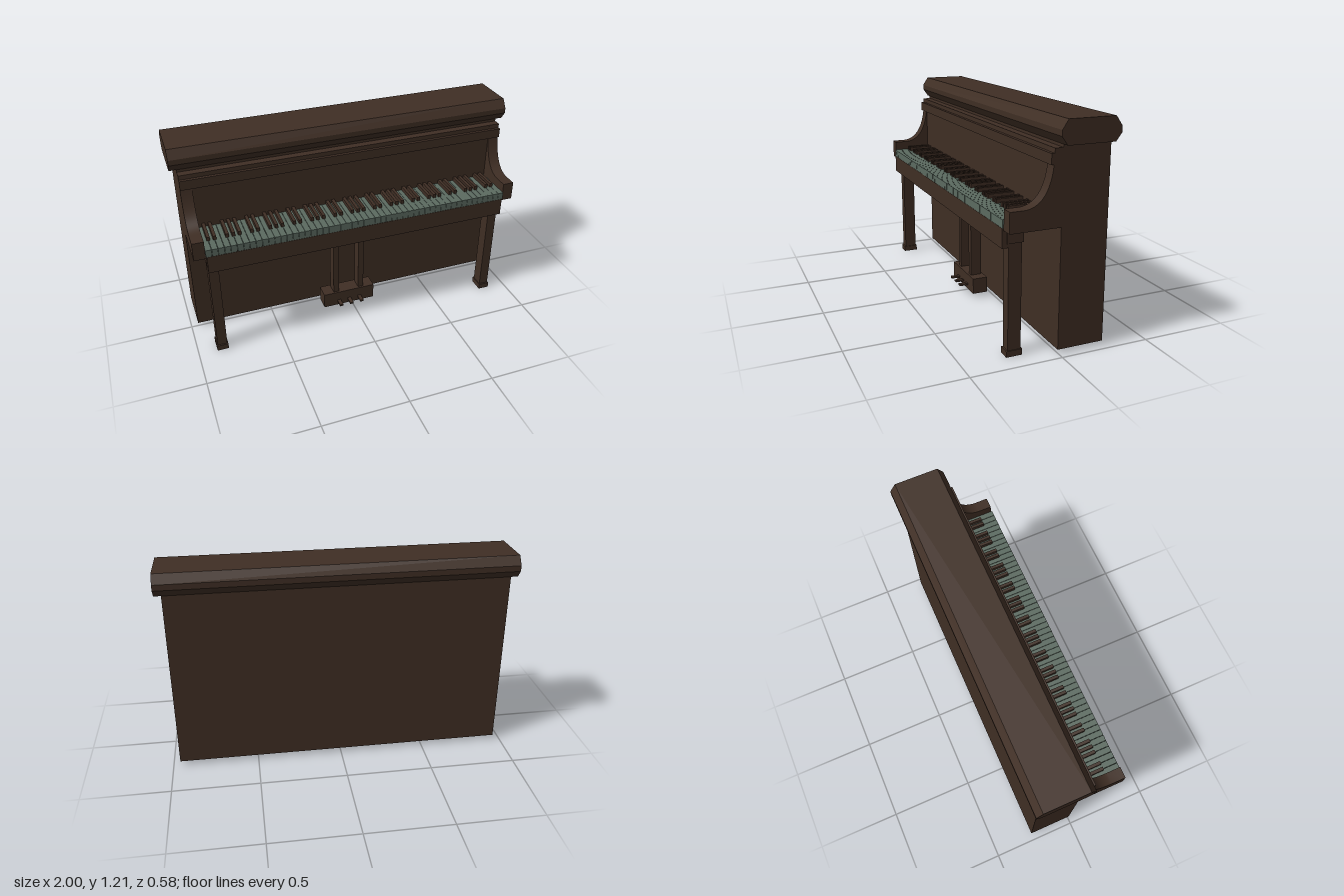
import * as THREE from 'three';
import { toCreasedNormals } from 'three/addons/utils/BufferGeometryUtils.js';

export function createModel() {
  const piano = new THREE.Group();
  piano.name = 'uprightPiano';

  const wood = new THREE.MeshStandardMaterial({ color: 0x3f2e24 });
  wood.name = 'dark wood';
  const ivory = new THREE.MeshStandardMaterial({ color: 0x5b6a60 });
  ivory.name = 'grey green ivory';

  // Box given by its limits on each axis
  function box(name, [x0, x1], [y0, y1], [z0, z1], material = wood, parent = piano) {
    const mesh = new THREE.Mesh(new THREE.BoxGeometry(x1 - x0, y1 - y0, z1 - z0), material);
    mesh.position.set((x0 + x1) / 2, (y0 + y1) / 2, (z0 + z1) / 2);
    mesh.name = name;
    parent.add(mesh);
    return mesh;
  }

  // Side profile drawn in (z, y), extruded across x around a centre
  function sideExtrude(name, shape, width, x) {
    const raw = new THREE.ExtrudeGeometry(shape, { depth: width, bevelEnabled: false, curveSegments: 16 });
    raw.translate(0, 0, -width / 2);
    raw.rotateY(-Math.PI / 2);
    const mesh = new THREE.Mesh(toCreasedNormals(raw, 0.4), wood);
    mesh.position.x = x;
    mesh.name = name;
    piano.add(mesh);
  }

  // Case and bevelled lid
  box('case', [-0.96, 0.96], [0.025, 1.08], [-0.255, 0.006]);
  const lid = new THREE.Shape([
    [0.006, 1.08], [0.038, 1.125], [0.038, 1.155], [0.005, 1.205],
    [-0.252, 1.205], [-0.287, 1.155], [-0.287, 1.122], [-0.255, 1.08],
  ].map(([z, y]) => new THREE.Vector2(z, y)));
  sideExtrude('lid', lid, 2, 0);

  // Upper front panel and moulding
  box('upperPanel', [-0.895, 0.895], [0.69, 1.065], [0.006, 0.05]);
  box('moulding', [-0.96, 0.96], [0.985, 1.04], [0.05, 0.068]);

  // Curved arms at both ends of the keyboard
  const arm = new THREE.Shape();
  arm.moveTo(0.006, 0.672);
  arm.lineTo(0.281, 0.672);
  arm.lineTo(0.281, 0.78);
  arm.lineTo(0.2, 0.78);
  arm.bezierCurveTo(0.13, 0.785, 0.07, 0.84, 0.054, 0.985);
  arm.lineTo(0.05, 1.065);
  arm.lineTo(0.006, 1.065);
  arm.closePath();
  for (const side of [-1, 1]) sideExtrude('arm', arm, 0.065, side * 0.9275);

  // Key bed and front rail
  box('keyBed', [-0.895, 0.895], [0.672, 0.686], [0.006, 0.28]);
  box('keyRail', [-0.89, 0.89], [0.58, 0.683], [0.25, 0.288]);

  // Keyboard: 52 white keys starting on C, black keys between them
  const keyboard = new THREE.Group();
  keyboard.name = 'keyboard';
  piano.add(keyboard);
  const count = 52, left = -0.895, step = 1.79 / count;
  const hasBlack = [true, true, false, true, true, true, false];
  for (let i = 0; i < count; i++) {
    const x = left + i * step;
    box('whiteKey', [x + 0.001, x + step - 0.001], [0.684, 0.727], [0.05, 0.288], ivory, keyboard);
    if (hasBlack[i % 7] && i < count - 1) {
      box('blackKey', [x + step - 0.009, x + step + 0.009], [0.725, 0.75], [0.05, 0.2], wood, keyboard);
    }
  }

  // Front legs with capital and foot
  for (const side of [-1, 1]) {
    const leg = new THREE.Group();
    leg.name = 'frontLeg';
    leg.position.x = side * 0.859;
    box('legCapital', [-0.033, 0.033], [0.6, 0.672], [0.172, 0.26], wood, leg);
    box('legPost', [-0.028, 0.028], [0.03, 0.6], [0.179, 0.251], wood, leg);
    box('legFoot', [-0.033, 0.033], [0, 0.033], [0.172, 0.26], wood, leg);
    piano.add(leg);
  }

  // Pedal box on two posts
  box('pedalBox', [-0.19, 0.135], [0.025, 0.119], [0.038, 0.127]);
  for (const x of [-0.108, 0.053]) box('pedalPost', [x - 0.017, x + 0.017], [0.119, 0.672], [0.05, 0.115]);
  for (const x of [-0.095, -0.028, 0.039]) box('pedal', [x - 0.011, x + 0.011], [0.05, 0.061], [0.12, 0.18]);

  return piano;
}
